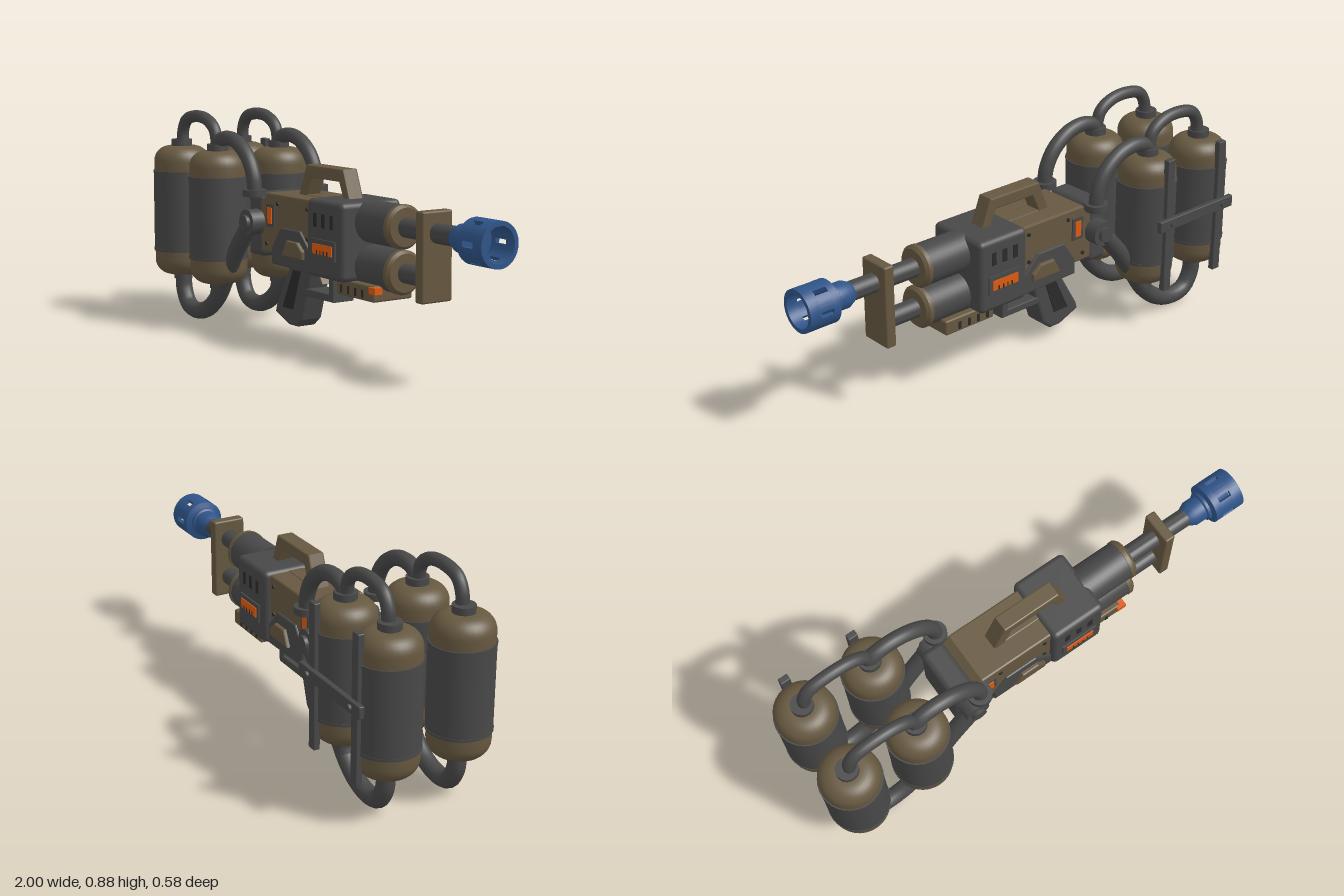
import * as THREE from 'three';
import { toCreasedNormals } from 'three/addons/utils/BufferGeometryUtils.js';
import { RoundedBoxGeometry } from 'three/addons/geometries/RoundedBoxGeometry.js';

const mat = (name, color) => {
  const m = new THREE.MeshStandardMaterial({ color });
  m.name = name;
  return m;
};

export function createModel() {
  const grey = mat('dark grey', 0x484848);
  const black = mat('near black', 0x2b2b2b);
  const brown = mat('olive brown', 0x665840);
  const blue = mat('blue', 0x2f5488);
  const orange = mat('orange', 0xdc5a10);
  const model = new THREE.Group();
  model.name = 'tankFedLauncher';
  const GZ = 0.02; // centre plane of the gun

  const add = (name, geo, material, x = 0, y = 0, z = 0) => {
    const m = new THREE.Mesh(geo, material);
    m.name = name;
    m.position.set(x, y, z);
    model.add(m);
    return m;
  };
  // Box given by its limits in x, y, z
  const box = (name, material, x0, x1, y0, y1, z0, z1, r = 0) => {
    const s = [x1 - x0, y1 - y0, z1 - z0];
    const g = r ? new RoundedBoxGeometry(...s, 3, r) : new THREE.BoxGeometry(...s);
    return add(name, g, material, (x0 + x1) / 2, (y0 + y1) / 2, (z0 + z1) / 2);
  };
  // Side outline extruded evenly about the gun's centre plane
  const slab = (name, material, pts, half, bevel = 0.008, hole) => {
    const shape = new THREE.Shape(pts.map(p => new THREE.Vector2(...p)));
    if (hole) shape.holes.push(new THREE.Path(hole.map(p => new THREE.Vector2(...p))));
    const g = new THREE.ExtrudeGeometry(shape, {
      depth: 2 * (half - bevel), bevelEnabled: bevel > 0, bevelSize: bevel,
      bevelThickness: bevel, bevelOffset: -bevel, bevelSegments: 2,
    });
    return add(name, g.translate(0, 0, bevel - half), material, 0, 0, GZ);
  };
  // Turned profile of [radius, height]; lies along x when alongX is set
  const turned = (name, material, pts, pos, alongX = false) => {
    const g = new THREE.LatheGeometry(pts.map(p => new THREE.Vector2(...p)), 32);
    if (alongX) g.rotateZ(-Math.PI / 2);
    return add(name, toCreasedNormals(g, 0.6), material, ...pos);
  };
  const rod = (name, material, x0, x1, r, y) =>
    turned(name, material, [[0, x0], [r, x0], [r, x1], [0, x1]], [0, y, GZ], true);
  const hose = (name, pts, r, z) => {
    const curve = new THREE.CatmullRomCurve3(pts.map(p => new THREE.Vector3(p[0], p[1], z)));
    add(name, new THREE.TubeGeometry(curve, 48, r, 16), grey);
  };

  // Tanks: rounded cap profile, mirrored for top and bottom
  const cap = [[0.117, 0]];
  for (let i = 0; i <= 8; i++) {
    const a = (i / 8) * Math.PI / 2;
    cap.push([0.052 + 0.065 * Math.cos(a), 0.042 + 0.065 * Math.sin(a)]);
  }
  cap.push([0, 0.107]);
  for (const z of [0.167, -0.129]) {
    for (const x of [-0.88, -0.586]) {
      turned('tankTopCap', brown, cap, [x, 0.62, z]);
      turned('tankBottomCap', brown, cap.map(p => [p[0], -p[1]]).reverse(), [x, 0.289, z]);
      turned('tankShell', grey, [[0.11, 0.285], [0.122, 0.285], [0.122, 0.295], [0.12, 0.295],
        [0.12, 0.614], [0.122, 0.614], [0.122, 0.624], [0.11, 0.624]], [x, 0, z]);
      turned('tankNeck', grey, [[0.043, 0.72], [0.043, 0.754], [0, 0.754]], [x, 0, z]);
      turned('tankOutlet', grey, [[0, 0.16], [0.038, 0.16], [0.038, 0.19]], [x, 0, z]);
    }
    // Hoses on each side
    hose('tankLinkHose', [[-0.868, 0.73], [-0.866, 0.79], [-0.835, 0.838], [-0.76, 0.857],
      [-0.67, 0.848], [-0.61, 0.81], [-0.588, 0.73]], 0.025, z);
    hose('upperFeedHose', [[-0.588, 0.73], [-0.572, 0.765], [-0.51, 0.783], [-0.43, 0.768],
      [-0.355, 0.715], [-0.315, 0.645], [-0.305, 0.575]], 0.03, z);
    turned('feedCollar', grey, [[0, 0.567], [0.047, 0.567], [0.047, 0.594], [0, 0.594]], [-0.307, 0, z]);
    hose('lowerFeedHose', [[-0.878, 0.18], [-0.872, 0.115], [-0.835, 0.055], [-0.77, 0.037],
      [-0.68, 0.057], [-0.59, 0.125], [-0.52, 0.225], [-0.44, 0.34], [-0.34, 0.455]], 0.035, z);
    hose('tankDrain', [[-0.586, 0.18], [-0.588, 0.15], [-0.6, 0.115]], 0.034, z);
    // Round joint where the lower hose meets the gun
    const side = z > GZ ? 1 : -1;
    const joint = add('hoseJoint', new THREE.CylinderGeometry(0.052, 0.052, 0.09, 24), grey, -0.335, 0.46, GZ + side * 0.125);
    joint.rotation.x = Math.PI / 2;
    const bolt = add('hoseJointCap', new THREE.CylinderGeometry(0.03, 0.03, 0.02, 24), grey, -0.335, 0.46, GZ + side * 0.175);
    bolt.rotation.x = Math.PI / 2;
  }

  // Brace behind the far pair of tanks
  box('braceBar', grey, -0.94, -0.52, 0.445, 0.493, -0.28, -0.258, 0.004);
  for (const x of [-0.88, -0.586]) {
    box('braceUpright', grey, x - 0.02, x + 0.02, 0.17, 0.738, -0.264, -0.238, 0.004);
    const b = add('braceBolt', new THREE.CylinderGeometry(0.012, 0.012, 0.012, 12), grey, x, 0.469, -0.284);
    b.rotation.x = Math.PI / 2;
  }

  // Gun body
  box('rearBlock', grey, -0.4, -0.3, 0.322, 0.575, GZ - 0.118, GZ + 0.118, 0.025);
  slab('receiver', brown, [[-0.32, 0.345], [0.06, 0.345], [0.06, 0.582], [-0.27, 0.582], [-0.32, 0.54]], 0.113);
  box('frontBlock', grey, 0.042, 0.277, 0.297, 0.594, GZ - 0.139, GZ + 0.139, 0.022);
  slab('carryHandle', brown, [[-0.165, 0.57], [0.185, 0.57], [0.135, 0.702], [-0.11, 0.702]], 0.034, 0.006,
    [[-0.108, 0.585], [-0.078, 0.653], [0.108, 0.653], [0.14, 0.585]]);
  slab('gripPlate', grey, [[-0.225, 0.305], [0.05, 0.3], [0.05, 0.375], [-0.028, 0.455],
    [-0.165, 0.455], [-0.225, 0.37]], 0.122, 0.006);
  slab('gripPad', brown, [[-0.132, 0.35], [0.008, 0.35], [0.008, 0.38], [-0.028, 0.412], [-0.1, 0.412]], 0.138, 0.006);

  // Grip, guard and trigger
  slab('grip', grey, [[-0.18, 0.34], [-0.05, 0.32], [-0.125, 0.085], [-0.165, 0.052],
    [-0.215, 0.052], [-0.315, 0.092], [-0.305, 0.125]], 0.05, 0.012);
  slab('gripInset', black, [[-0.178, 0.28], [-0.125, 0.28], [-0.18, 0.12], [-0.255, 0.12]], 0.053, 0.002);
  slab('triggerGuard', grey, [[-0.13, 0.187], [0.093, 0.187], [0.093, 0.315], [-0.11, 0.315]], 0.05, 0.005,
    [[-0.09, 0.217], [0.063, 0.217], [0.063, 0.295], [-0.075, 0.295]]);
  slab('trigger', brown, [[-0.075, 0.31], [-0.04, 0.31], [-0.042, 0.27], [-0.022, 0.24],
    [-0.035, 0.235], [-0.06, 0.265]], 0.018, 0.003);

  // Lights and vents on both sides
  for (const s of [1, -1]) {
    const plate = (name, material, x0, x1, y0, y1, half, t) =>
      box(name, material, x0, x1, y0, y1, GZ + s * half - t / 2, GZ + s * half + t / 2);
    plate('smallLightFrame', grey, -0.268, -0.212, 0.448, 0.54, 0.114, 0.009);
    plate('smallLight', orange, -0.254, -0.226, 0.462, 0.526, 0.118, 0.009);
    plate('largeLightFrame', grey, 0.083, 0.24, 0.372, 0.447, 0.141, 0.009);
    plate('largeLight', orange, 0.1, 0.224, 0.39, 0.429, 0.145, 0.009);
    for (let i = 0; i < 4; i++) {
      const x = 0.128 + i * 0.022;
      plate('lightRib', black, x, x + 0.005, 0.39, 0.406, 0.147, 0.009);
    }
    for (const x of [0.105, 0.158, 0.211]) plate('vent', black, x - 0.011, x + 0.011, 0.49, 0.543, 0.138, 0.006);
    for (const [x, y] of [[-0.19, 0.545], [0.015, 0.545], [-0.27, 0.38], [0.015, 0.43]]) {
      const r = add('rivet', new THREE.CylinderGeometry(0.008, 0.008, 0.008, 10), black, x, y, GZ + s * 0.114);
      r.rotation.x = Math.PI / 2;
    }
  }

  // Twin barrels
  for (const [y, end] of [[0.52, 0.79], [0.352, 0.64]]) {
    rod('barrelJacket', grey, 0.26, 0.46, 0.08, y);
    turned('barrelRing', brown, [[0, 0.455], [0.083, 0.455], [0.083, 0.472], [0.072, 0.484], [0, 0.484]], [0, y, GZ], true);
    rod('barrel', grey, 0.47, end, 0.037, y);
  }
  box('barrelPlate', brown, 0.623, 0.667, 0.27, 0.6, GZ - 0.068, GZ + 0.068, 0.008);

  // Box under the barrels with its lever
  box('underBox', brown, 0.172, 0.408, 0.239, 0.3, GZ - 0.09, GZ + 0.09, 0.008);
  for (let i = 0; i < 4; i++) {
    const x = 0.2 + i * 0.045;
    for (const s of [1, -1]) box('underBoxSlot', black, x, x + 0.012, 0.25, 0.28, GZ + s * 0.09 - 0.003, GZ + s * 0.09 + 0.003);
  }
  box('lever', orange, 0.39, 0.43, 0.272, 0.297, 0.085, 0.119);

  // Muzzle: cone base, slotted sleeve and front rim
  const my = 0.518, R = 0.083, r = 0.066;
  turned('muzzleBase', blue, [[0, 0.772], [0.038, 0.772], [0.052, 0.8], [0.052, 0.845], [0.06, 0.85],
    [0.06, 0.862], [R, 0.87], [R, 0.9], [r, 0.9], [r, 0.88], [0, 0.88]], [0, my, GZ], true);
  turned('muzzleRim', blue, [[r, 0.955], [R, 0.955], [R, 1], [r, 1], [r, 0.955]], [0, my, GZ], true);
  for (let i = 0; i < 6; i++) {
    const a = i * Math.PI / 3 + 0.13, b = (i + 1) * Math.PI / 3 - 0.13;
    const s = new THREE.Shape();
    s.absarc(0, 0, R, a, b, false);
    s.absarc(0, 0, r, b, a, true);
    const g = new THREE.ExtrudeGeometry(s, { depth: 0.057, bevelEnabled: false, curveSegments: 6 });
    g.rotateY(Math.PI / 2);
    add('muzzleSleeve', toCreasedNormals(g, 0.6), blue, 0.899, my, GZ);
  }
  return model;
}
